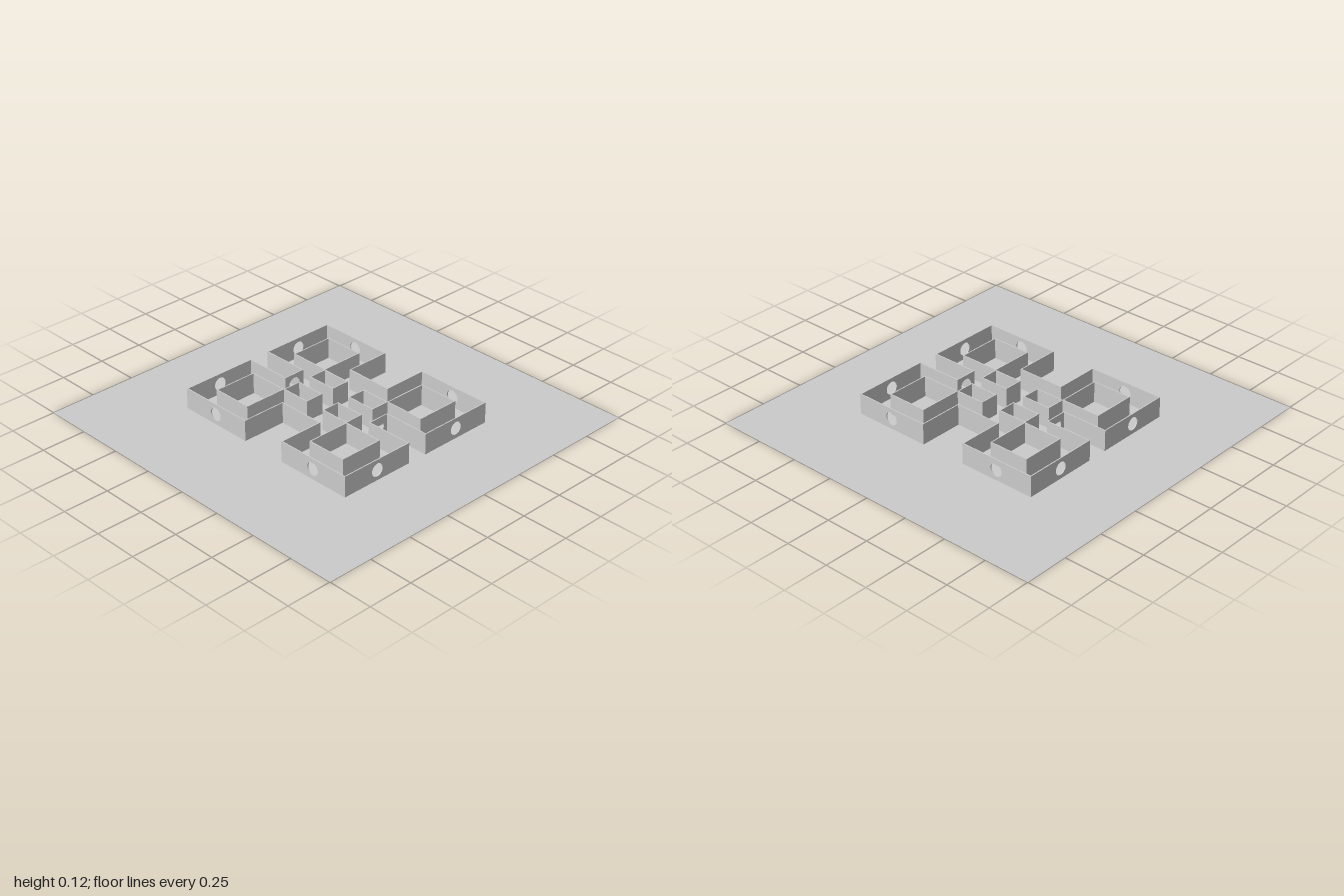
import * as THREE from 'three';

const H = 0.115;   // wall height
const T = 0.006;   // wall thickness
const HOLE = 0.036; // entrance radius

const material = new THREE.MeshStandardMaterial({ color: 0xcccccc, side: THREE.DoubleSide });

// Thin upright panel from (x1, z1) to (x2, z2), optionally with a round entrance
function wall(name, [x1, z1], [x2, z2], hole = false) {
  const half = Math.hypot(x2 - x1, z2 - z1) / 2 + T / 2;
  const shape = new THREE.Shape();
  shape.moveTo(-half, 0).lineTo(half, 0).lineTo(half, H).lineTo(-half, H).closePath();
  if (hole) {
    const circle = new THREE.Path();
    circle.absarc(0, H / 2, HOLE, 0, Math.PI * 2, true);
    shape.holes.push(circle);
  }
  const geometry = new THREE.ExtrudeGeometry(shape, { depth: T, bevelEnabled: false, curveSegments: 16 });
  geometry.translate(0, 0, -T / 2);
  const mesh = new THREE.Mesh(geometry, material);
  mesh.name = name;
  mesh.position.set((x1 + x2) / 2, 0, (z1 + z2) / 2);
  mesh.rotation.y = -Math.atan2(z2 - z1, x2 - x1);
  return mesh;
}

// Open-topped rectangular enclosure
function enclosure(name, x1, x2, z1, z2) {
  const group = new THREE.Group();
  group.name = name;
  const c = [[x1, z1], [x2, z1], [x2, z2], [x1, z2]];
  c.forEach((p, i) => group.add(wall(name + 'Wall', p, c[(i + 1) % 4])));
  return group;
}

export function createModel() {
  const model = new THREE.Group();
  model.name = 'maze';

  // Flat ground sheet
  const base = new THREE.Mesh(new THREE.PlaneGeometry(2, 2).rotateX(-Math.PI / 2), material);
  base.name = 'basePlate';
  model.add(base);

  // Outline of one corner bay; entrances on its two outward sides
  const bay = [[0.302, 0.06], [0.564, 0.06], [0.564, 0.484], [0.133, 0.484], [0.133, 0.235]];
  for (const sx of [-1, 1]) {
    for (const sz of [-1, 1]) {
      const pts = bay.map(([x, z]) => [x * sx, z * sz]);
      for (let i = 0; i < 4; i++) {
        model.add(wall('outerWall', pts[i], pts[i + 1], i === 1 || i === 2));
      }
      // Large inner block and small central block
      model.add(enclosure('cornerEnclosure', 0.226 * sx, 0.45 * sx, 0.144 * sz, 0.386 * sz));
      model.add(enclosure('centreEnclosure', 0.059 * sx, 0.222 * sx, 0.039 * sz, 0.14 * sz));
    }
  }

  // Recessed walls between the bays; the side ones have entrances
  for (const s of [-1, 1]) {
    model.add(wall('recessedEndWall', [-0.133, 0.235 * s], [0.133, 0.235 * s]));
    model.add(wall('recessedSideWall', [0.302 * s, -0.06], [0.302 * s, 0.06], true));
  }
  return model;
}
